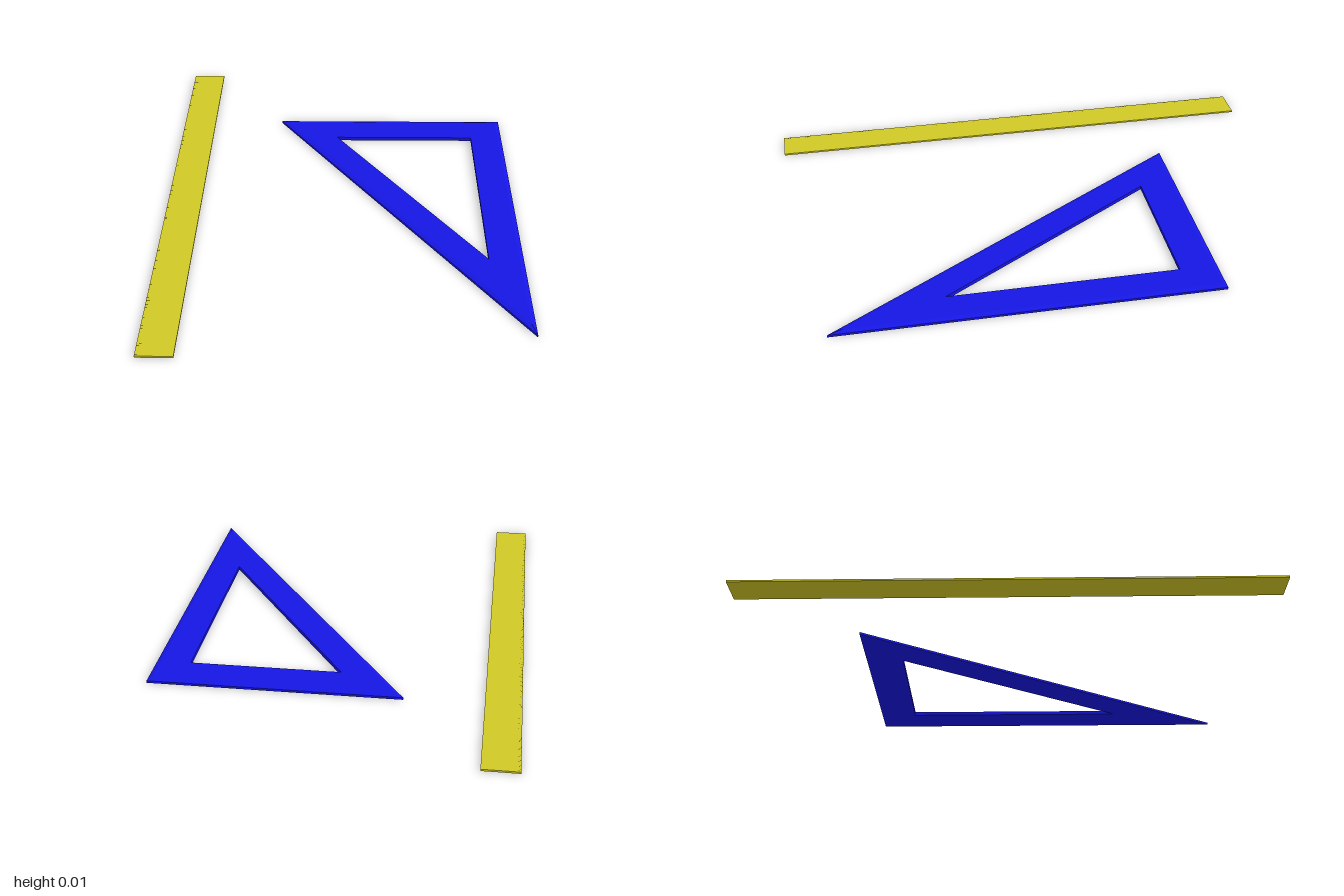
import * as THREE from 'three';
import { mergeGeometries } from 'three/addons/utils/BufferGeometryUtils.js';

const blue = new THREE.MeshStandardMaterial({ color: 0x1616e5 });
blue.name = 'blue plastic';
const yellow = new THREE.MeshStandardMaterial({ color: 0xd1c826 });
yellow.name = 'yellow plastic';
const black = new THREE.MeshStandardMaterial({ color: 0x141414 });
black.name = 'black ink';

// Closed band of quads through a cycle of three-cornered rings, flat shaded
function ringSolid(rings) {
  const positions = [];
  rings.forEach((ring, r) => {
    const next = rings[(r + 1) % rings.length];
    for (let i = 0; i < 3; i++) {
      const j = (i + 1) % 3;
      positions.push(...ring[i], ...next[i], ...ring[j]);
      positions.push(...ring[j], ...next[i], ...next[j]);
    }
  });
  const geometry = new THREE.BufferGeometry();
  geometry.setAttribute('position', new THREE.Float32BufferAttribute(positions, 3));
  geometry.computeVertexNormals();
  return geometry;
}

// Hairline scale along one ruler edge, longer at every fifth and tenth line
function scaleMarks(edgeX, y) {
  const lines = [];
  for (let i = 1; i < 300; i++) {
    const length = i % 10 === 0 ? 0.018 : i % 5 === 0 ? 0.014 : 0.01;
    const line = new THREE.PlaneGeometry(length, 0.0004);
    line.rotateX(-Math.PI / 2);
    line.translate(edgeX + length / 2, y, -1 + i / 150);
    lines.push(line);
  }
  return mergeGeometries(lines);
}

export function createModel() {
  const model = new THREE.Group();
  model.name = 'drawingTools';

  // Straight ruler
  const ruler = new THREE.Mesh(new THREE.BoxGeometry(0.134, 0.007, 2), yellow);
  ruler.name = 'ruler';
  ruler.position.set(-0.625, 0.0035, 0);
  model.add(ruler);

  const marks = new THREE.Mesh(scaleMarks(-0.692, 0.0074), black);
  marks.name = 'rulerMarks';
  model.add(marks);

  // Set square: outer wall, chamfered top rim, top face, hole wall, underside
  const outer = [[-0.264, -0.578], [0.69, -0.578], [0.69, 0.882]];
  const rim = [[-0.233, -0.562], [0.674, -0.562], [0.674, 0.828]];
  const hole = [[-0.018, -0.432], [0.558, -0.432], [0.558, 0.448]];
  const at = (corners, y) => corners.map(([x, z]) => [x, y, z]);
  const setSquare = new THREE.Mesh(ringSolid([
    at(outer, 0), at(outer, 0.009), at(rim, 0.015), at(hole, 0.015), at(hole, 0),
  ]), blue);
  setSquare.name = 'setSquare';
  model.add(setSquare);

  return model;
}
